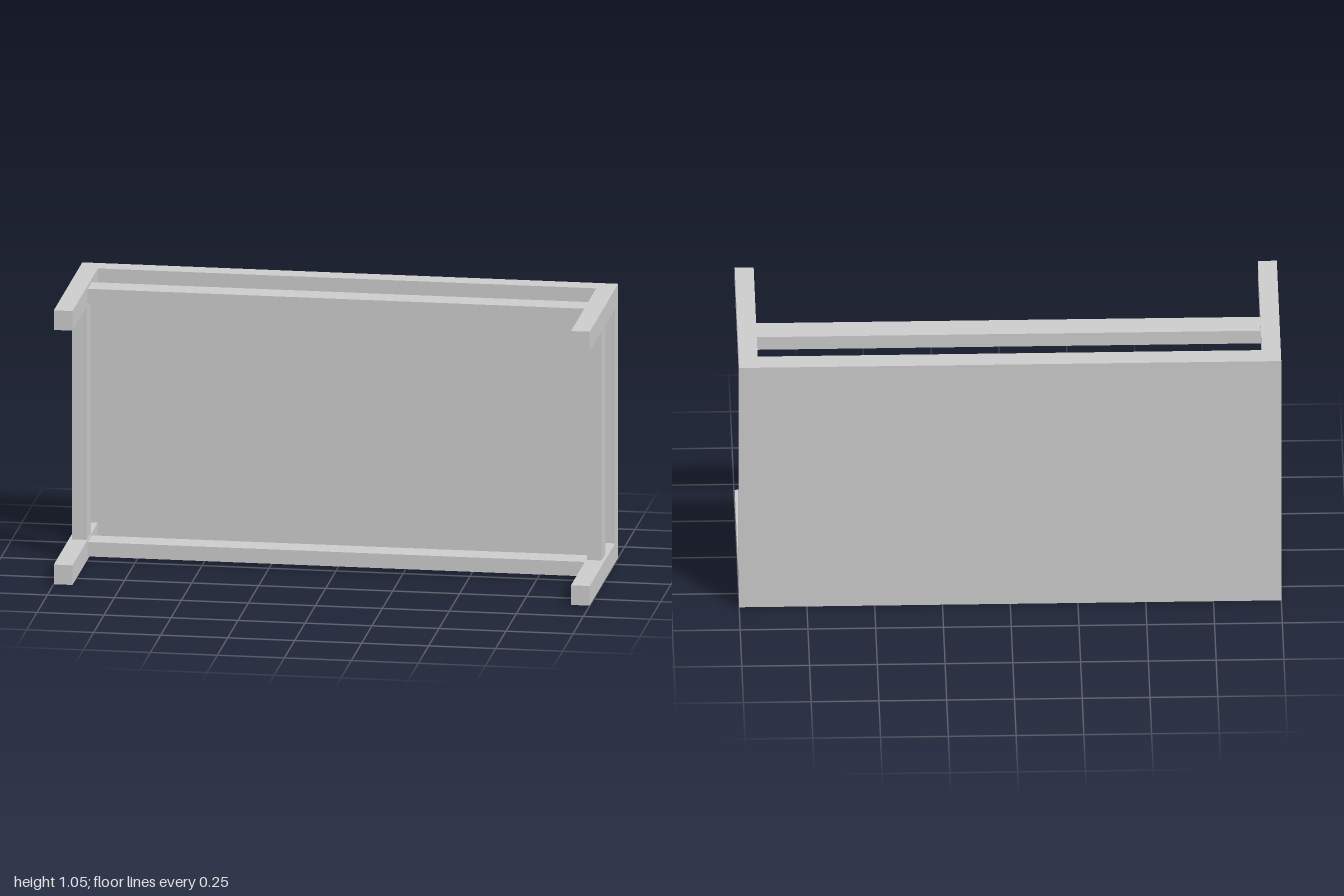
import * as THREE from 'three';

export function createModel() {
  const group = new THREE.Group();
  const material = new THREE.MeshStandardMaterial({ color: 0xcccccc, flatShading: true });

  // Box given by its lower and upper limits on each axis
  const addBox = (name, [x0, x1], [y0, y1], [z0, z1]) => {
    const mesh = new THREE.Mesh(new THREE.BoxGeometry(x1 - x0, y1 - y0, z1 - z0), material);
    mesh.position.set((x0 + x1) / 2, (y0 + y1) / 2, (z0 + z1) / 2);
    mesh.name = name;
    group.add(mesh);
  };
  // Limits reflected about a centre
  const mirror = ([a, b], centre) => [2 * centre - b, 2 * centre - a];

  const height = 1.046, mid = height / 2;
  const back = -0.345, slabFront = -0.268, front = 0.345;
  const legX = [0.93, 1], legY = [0, 0.075];
  const railZ = [-0.116, -0.02];

  // Table lying on its long side, its top facing backwards
  addBox('tableTop', [-1, 1], [0, height], [back, slabFront]);

  // Four legs at the corners
  for (const [side, x] of [['left', legX], ['right', mirror(legX, 0)]]) {
    addBox(side + 'LowerLeg', x, legY, [slabFront, front]);
    addBox(side + 'UpperLeg', x, mirror(legY, mid), [slabFront, front]);
  }

  // Long rails between the left and right legs
  const longY = [0.012, 0.067];
  addBox('lowerLongRail', [-0.93, 0.93], longY, railZ);
  addBox('upperLongRail', [-0.93, 0.93], mirror(longY, mid), railZ);

  // Short rails between the lower and upper legs
  const shortX = [0.933, 0.988], shortY = [0.075, height - 0.075];
  addBox('leftShortRail', shortX, shortY, railZ);
  addBox('rightShortRail', mirror(shortX, 0), shortY, railZ);

  return group;
}
